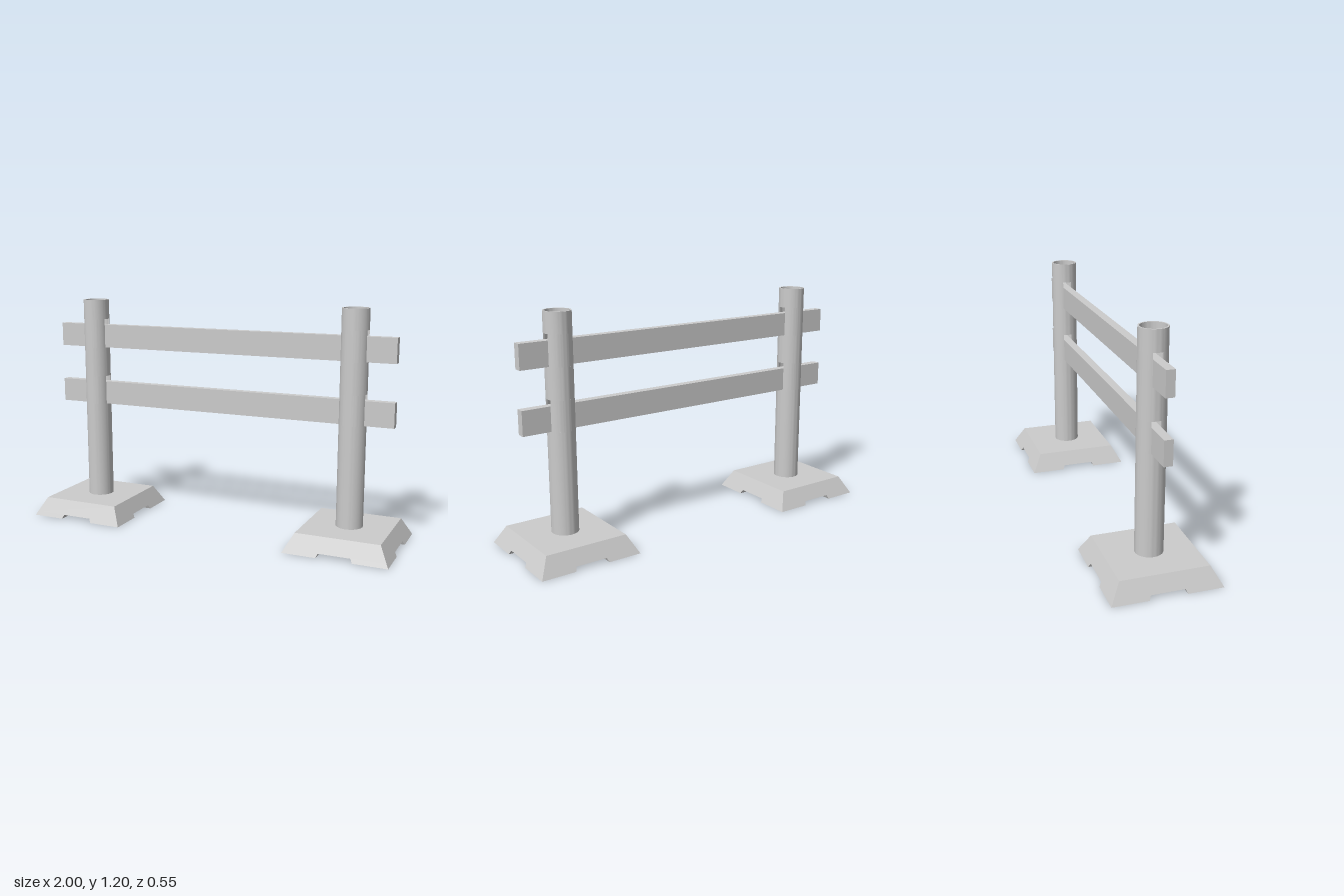
import * as THREE from 'three';
import { mergeGeometries, toCreasedNormals } from 'three/addons/utils/BufferGeometryUtils.js';

const material = new THREE.MeshStandardMaterial({ color: 0xcccccc });
const OUTER = 0.07, INNER = 0.062, SLOT = 0.0235;
const POST_BOTTOM = 0.003, POST_TOP = 1.195;
const RAIL_H = 0.125, SLOT_H = 0.155;
const RAIL_YS = [0.62, 0.935];

function addMesh(parent, name, geometry) {
  const mesh = new THREE.Mesh(geometry, material);
  mesh.name = name;
  parent.add(mesh);
  return mesh;
}

// Six-sided block whose bottom and top rectangles [x0, x1, z0, z1] differ
function taperedBlock(y0, bottom, y1, top) {
  const g = new THREE.BoxGeometry(1, 1, 1);
  const p = g.attributes.position;
  for (let i = 0; i < p.count; i++) {
    const up = p.getY(i) > 0;
    const r = up ? top : bottom;
    p.setXYZ(i, r[p.getX(i) > 0 ? 1 : 0], up ? y1 : y0, r[p.getZ(i) > 0 ? 3 : 2]);
  }
  g.computeVertexNormals();
  return g;
}

function extrudeUp(shape, y0, y1, curveSegments) {
  const g = new THREE.ExtrudeGeometry(shape, { depth: y1 - y0, bevelEnabled: false, curveSegments });
  return g.rotateX(-Math.PI / 2).translate(0, y0, 0);
}

// Full ring of the tube wall
function ringSection(y0, y1) {
  const s = new THREE.Shape().absarc(0, 0, OUTER, 0, Math.PI * 2, false);
  s.holes.push(new THREE.Path().absarc(0, 0, INNER, 0, Math.PI * 2, true));
  return extrudeUp(s, y0, y1, 32);
}

// Two wall arcs left standing beside a slot that runs along x
function slottedSection(y0, y1) {
  const a = Math.asin(SLOT / OUTER), b = Math.asin(SLOT / INNER);
  return [0, Math.PI].map((turn) => {
    const s = new THREE.Shape();
    s.absarc(0, 0, OUTER, turn + a, turn + Math.PI - a, false);
    s.absarc(0, 0, INNER, turn + Math.PI - b, turn + b, true);
    s.closePath();
    return extrudeUp(s, y0, y1, 14);
  });
}

function postGeometry() {
  const parts = [];
  let y = POST_BOTTOM;
  for (const slotY of RAIL_YS) {
    parts.push(ringSection(y, slotY), ...slottedSection(slotY, slotY + SLOT_H));
    y = slotY + SLOT_H;
  }
  parts.push(ringSection(y, POST_TOP));
  return toCreasedNormals(mergeGeometries(parts), 0.6);
}

function createStand() {
  const stand = new THREE.Group();
  const square = (h) => [-h, h, -h, h];
  const FOOT = 0.273, MID = 0.262, TOP = 0.221, STEP = 0.02;

  // Sloped base above crossing channels, with a pad in every corner
  const base = new THREE.Group();
  base.name = 'base';
  addMesh(base, 'baseBlock', taperedBlock(STEP, square(MID), 0.095, square(TOP)));
  const span = (s, inner, outer) => (s > 0 ? [inner, outer] : [-outer, -inner]);
  for (const sx of [-1, 1]) {
    for (const sz of [-1, 1]) {
      const bottom = [...span(sx, 0.093, FOOT), ...span(sz, 0.093, FOOT)];
      const top = [...span(sx, 0.084, MID), ...span(sz, 0.084, MID)];
      addMesh(base, 'cornerPad', taperedBlock(0, bottom, STEP, top));
    }
  }
  stand.add(base);

  // Hollow slotted post with a closed foot
  addMesh(stand, 'post', postGeometry());
  const plug = new THREE.CylinderGeometry(INNER + 0.001, INNER + 0.001, 0.02, 32);
  addMesh(stand, 'postFoot', plug).position.y = POST_BOTTOM + 0.01;
  stand.scale.x = 0.977;
  return stand;
}

export function createModel() {
  const model = new THREE.Group();
  model.name = 'barrier';

  for (const side of [-1, 1]) {
    const stand = createStand();
    stand.name = side > 0 ? 'leftStand' : 'rightStand';
    stand.position.x = side * 0.733;
    model.add(stand);
  }

  // Rails threaded through both posts
  RAIL_YS.forEach((y, i) => {
    const rail = addMesh(model, i ? 'upperRail' : 'lowerRail', new THREE.BoxGeometry(1.89, RAIL_H, 0.044));
    rail.position.y = y + RAIL_H / 2;
  });
  return model;
}
